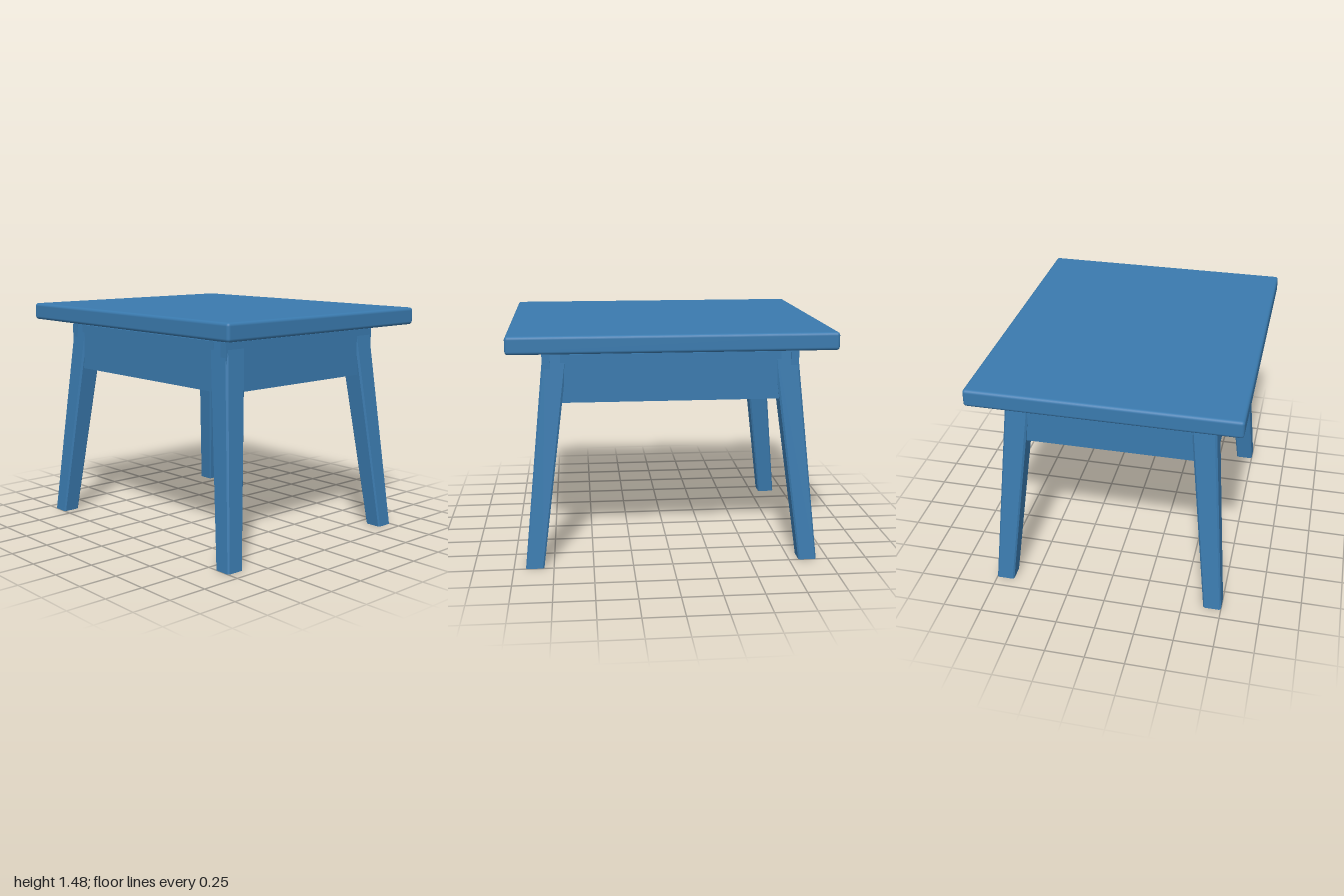
import * as THREE from 'three';
import { RoundedBoxGeometry } from 'three/addons/geometries/RoundedBoxGeometry.js';

const bluePaint = new THREE.MeshStandardMaterial({ color: 0x3a7aae });
bluePaint.name = 'bluePaint';

const LEG_HEIGHT = 1.37;

// Square bar with chamfered edges, tapered and splayed towards one corner.
function legGeometry(sx, sz) {
  const h = 0.5, c = 0.42;
  const section = new THREE.Shape([
    [h, -c], [h, c], [c, h], [-c, h], [-h, c], [-h, -c], [-c, -h], [c, -h],
  ].map(([x, y]) => new THREE.Vector2(x, y)));
  const geometry = new THREE.ExtrudeGeometry(section, { depth: 1, bevelEnabled: false });
  geometry.rotateX(-Math.PI / 2); // extrusion runs from y = 0 to y = 1
  const p = geometry.attributes.position;
  const mix = THREE.MathUtils.lerp;
  for (let i = 0; i < p.count; i++) {
    const t = p.getY(i);
    const width = mix(0.115, 0.153, t);
    p.setXYZ(i,
      p.getX(i) * width + sx * mix(0.868, 0.708, t),
      t * LEG_HEIGHT,
      p.getZ(i) * width + sz * mix(0.693, 0.564, t));
  }
  geometry.computeVertexNormals();
  return geometry;
}

export function createModel() {
  const group = new THREE.Group();
  group.name = 'sideTable';
  const add = (name, geometry, x = 0, y = 0, z = 0) => {
    const mesh = new THREE.Mesh(geometry, bluePaint);
    mesh.name = name;
    mesh.position.set(x, y, z);
    group.add(mesh);
  };

  // Slab with softened edges
  add('tableTop', new RoundedBoxGeometry(2, 0.11, 1.65, 3, 0.02), 0, 1.425, 0);

  // Four splayed legs
  for (const sx of [-1, 1]) {
    for (const sz of [-1, 1]) {
      add((sz > 0 ? 'front' : 'back') + (sx > 0 ? 'Left' : 'Right') + 'Leg', legGeometry(sx, sz));
    }
  }

  // Aprons below the top, leaving a narrow gap
  for (const s of [-1, 1]) {
    add(s > 0 ? 'frontApron' : 'backApron', new THREE.BoxGeometry(1.36, 0.3, 0.05), 0, 1.19, s * 0.622);
    add(s > 0 ? 'leftApron' : 'rightApron', new THREE.BoxGeometry(0.05, 0.3, 1.3), s * 0.767, 1.19, 0);
  }
  return group;
}
